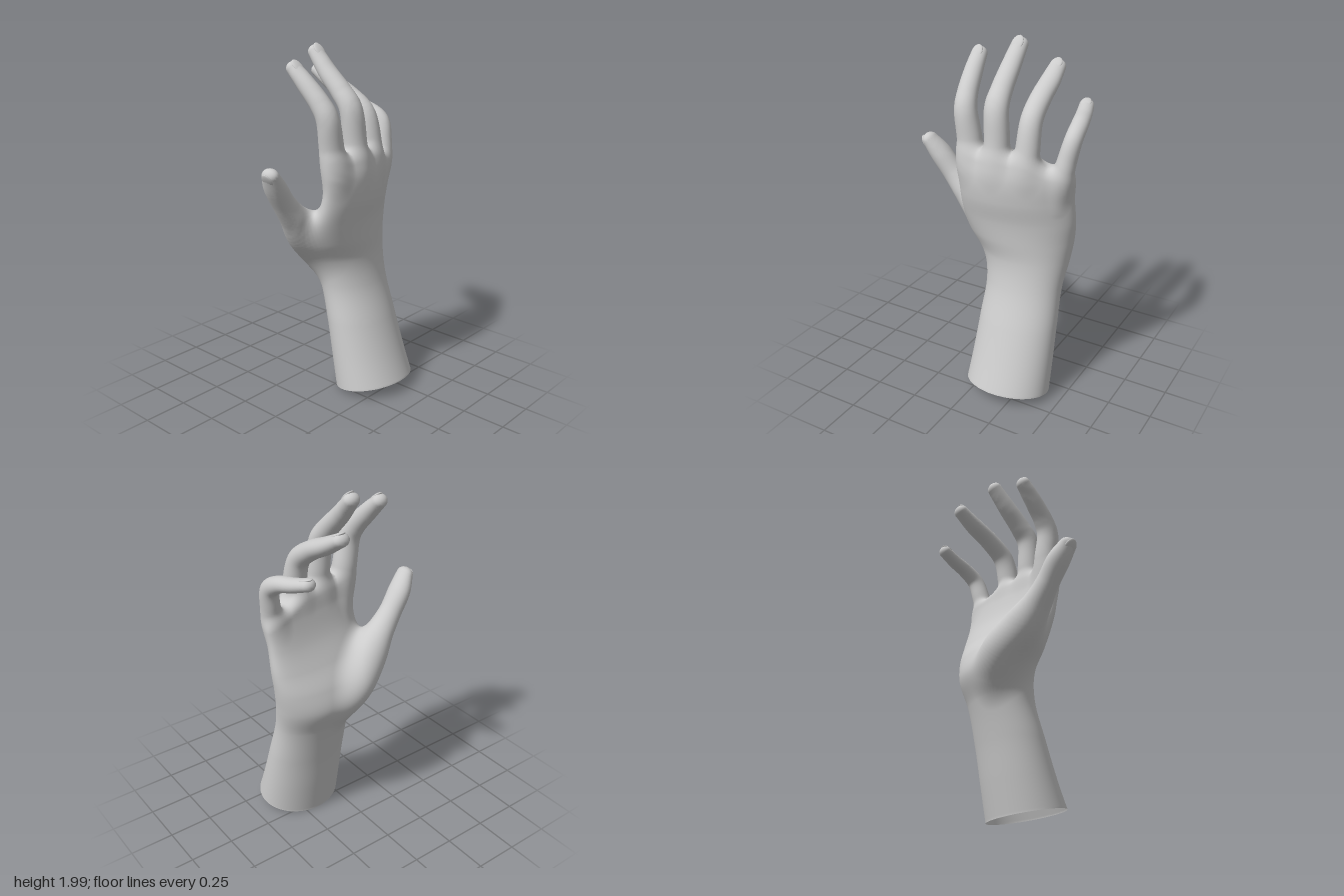
import * as THREE from 'three';

const material = new THREE.MeshStandardMaterial({ color: 0xcccccc, side: THREE.DoubleSide });
const BOTTOM = 0.04;

// Smooth function through rows of numbers placed at the given times
function spline(times, rows) {
  const curve = new THREE.CubicInterpolant(times, rows.flat(), rows[0].length, []);
  return (t) => Array.from(curve.evaluate(t));
}

// Smooth minimum: joins two distances with a fillet of size k
function blend(a, b, k) {
  const h = Math.max(k - Math.abs(a - b), 0) / k;
  return Math.min(a, b) - h * h * k / 4;
}

// Forearm and palm: elliptical sections by height, slanted and arched across the hand
function forearmAndPalm() {
  const heights = [0.04, 0.22, 0.42, 0.64, 0.8, 0.92, 1.04, 1.17, 1.3, 1.38, 1.46];
  // centre x, half depth, centre z, half width, slant, arch
  const at = spline(heights, [
    [0.152, 0.204, -0.177, 0.247, 0, 0],
    [0.1, 0.187, -0.18, 0.24, 0, 0],
    [0.045, 0.17, -0.182, 0.233, 0, 0],
    [-0.02, 0.16, -0.182, 0.228, 0, 0],
    [-0.06, 0.176, -0.172, 0.258, 0.03, 0],
    [-0.04, 0.166, -0.15, 0.298, 0.1, 0.01],
    [0, 0.138, -0.143, 0.318, 0.15, 0.02],
    [0.045, 0.116, -0.145, 0.316, 0.19, 0.03],
    [0.068, 0.097, -0.148, 0.316, 0.2, 0.035],
    [0.068, 0.08, -0.148, 0.31, 0.2, 0.04],
    [0.065, 0.055, -0.148, 0.3, 0.2, 0.04],
  ]);
  return (x, y, z) => {
    const [cx, hx, cz, hz, slant, arch] = at(y);
    const dz = z - cz, dx = x - cx - slant * dz + arch * (dz / hz) ** 2;
    const k0 = Math.hypot(dx / hx, dz / hz) + 1e-6;
    const k1 = Math.hypot(dx / hx ** 2, dz / hz ** 2) + 1e-6;
    const top = y - 1.43 - 0.4 * Math.min(0, z + 0.2);
    return -blend(-k0 * (k0 - 1) / k1, -top, 0.05);
  };
}

// Finger: distance to a tapering sweep; rows of x, y, z, half width, half depth.
// The half width is measured along the axis numbered wide.
function finger(rows, wide) {
  const at = spline(rows.map((_, i) => i), rows), perRow = 14;
  const path = [];
  for (let i = 0; i <= (rows.length - 1) * perRow; i++) path.push(at(i / perRow));
  const box = new THREE.Box3().setFromPoints(path.map((p) => new THREE.Vector3(...p))).expandByScalar(0.15);
  const point = new THREE.Vector3(), d = [0, 0, 0];
  return (x, y, z) => {
    const outside = box.distanceToPoint(point.set(x, y, z));
    if (outside > 0) return outside + 0.1;
    let best = Infinity;
    for (let i = 0; i < path.length - 1; i++) {
      const a = path[i], b = path[i + 1];
      const ex = b[0] - a[0], ey = b[1] - a[1], ez = b[2] - a[2];
      const along = ((x - a[0]) * ex + (y - a[1]) * ey + (z - a[2]) * ez) / (ex * ex + ey * ey + ez * ez);
      const t = Math.min(1, Math.max(0, along));
      d[0] = x - a[0] - t * ex;
      d[1] = y - a[1] - t * ey;
      d[2] = z - a[2] - t * ez;
      const ru = a[3] + t * (b[3] - a[3]), rv = a[4] + t * (b[4] - a[4]);
      d[wide] *= rv / ru;
      best = Math.min(best, Math.sqrt(d[0] * d[0] + d[1] * d[1] + d[2] * d[2]) - rv);
    }
    return best;
  };
}

// Nail: flattened ellipsoid laid into the back of the fingertip
function nail(name, rows, side) {
  const [x, y, z, ru, rv] = rows[rows.length - 1], end = new THREE.Vector3(x, y, z);
  const t = end.clone().sub(new THREE.Vector3(...rows[rows.length - 2])).normalize();
  const u = side.clone().addScaledVector(t, -side.dot(t)).normalize(), v = t.clone().cross(u);
  const mesh = new THREE.Mesh(new THREE.SphereGeometry(1, 20, 14), material);
  mesh.name = name;
  mesh.scale.set(ru * 0.72, rv * 0.3, ru * 1.05);
  mesh.quaternion.setFromRotationMatrix(new THREE.Matrix4().makeBasis(u, v, t));
  mesh.position.copy(end).addScaledVector(v, rv * 0.75).addScaledVector(t, -ru * 0.28);
  return mesh;
}

// Skin the zero level of a field with quads, one vertex per crossed grid cell
function skin(field, partOf, names) {
  const h = 0.0125, size = [68, 162, 88], low = [-0.425, BOTTOM - h / 2, -0.55];
  const stride = [1, size[0], size[0] * size[1]], values = new Float32Array(size[0] * size[1] * size[2]);
  const each = (from, visit) => {
    for (let k = from; k < size[2] - 1; k++) for (let j = from; j < size[1] - 1; j++)
      for (let i = from; i < size[0] - 1; i++) visit([i, j, k], i + j * stride[1] + k * stride[2]);
  };
  each(0, (g, id) => { values[id] = field(...g.map((n, a) => low[a] + n * h)); });
  const gradient = (p) => [0, 1, 2].map((a) => {
    const p0 = [...p], p1 = [...p];
    p0[a] -= 0.004;
    p1[a] += 0.004;
    return (field(...p1) - field(...p0)) / 0.008;
  });

  const vertexOf = new Map(), positions = [], normals = [], part = [];
  each(0, (g, id) => {
    if (g.some((n, a) => n > size[a] - 3)) return;
    let inside = 0;
    for (let c = 0; c < 8; c++) if (values[id + (c & 1) + (c >> 1 & 1) * stride[1] + (c >> 2) * stride[2]] < 0) inside++;
    if (inside === 0 || inside === 8) return;
    let p = g.map((n, a) => low[a] + (n + 0.5) * h);
    for (let step = 0; step < 3; step++) {
      const slope = gradient(p), f = field(...p) / Math.max(0.3, slope.reduce((s, n) => s + n * n, 0));
      p = p.map((n, a) => n - THREE.MathUtils.clamp(f * slope[a], -h, h));
    }
    if (g[1] === 0) p[1] = BOTTOM;
    vertexOf.set(id, part.length);
    part.push(partOf(...p));
    // The cut through the forearm slopes up towards the back of the hand
    const tilt = 0.22 * Math.max(0, 1 - p[1] / 0.6) ** 2;
    positions.push(p[0], p[1] + tilt * (p[0] - 0.152), p[2]);
    normals.push(...new THREE.Vector3(...gradient(p)).normalize());
  });

  const faces = names.map(() => []);
  each(1, (g, id) => {
    for (let a = 0; a < 3; a++) {
      const inside = values[id] < 0;
      if (inside === values[id + stride[a]] < 0) continue;
      const b = stride[(a + 1) % 3], c = stride[(a + 2) % 3];
      const quad = [id, id - b, id - b - c, id - c].map((cell) => vertexOf.get(cell));
      if (!inside) quad.reverse();
      faces[part[quad[0]]].push(quad[0], quad[1], quad[2], quad[0], quad[2], quad[3]);
    }
  });
  return names.map((name, i) => {
    const geometry = new THREE.BufferGeometry();
    geometry.setAttribute('position', new THREE.Float32BufferAttribute(positions, 3));
    geometry.setAttribute('normal', new THREE.Float32BufferAttribute(normals, 3));
    geometry.setIndex(faces[i]);
    const mesh = new THREE.Mesh(geometry.toNonIndexed(), material);
    mesh.name = name;
    return mesh;
  });
}

export function createModel() {
  const digits = {
    indexFinger: [
      [0.06, 1.18, 0.07, 0.03, 0.03], [0.085, 1.33, 0.1, 0.07, 0.066], [0.075, 1.47, 0.114, 0.07, 0.066],
      [0.072, 1.62, 0.138, 0.063, 0.062], [0.03, 1.705, 0.151, 0.057, 0.056],
      [-0.055, 1.8, 0.165, 0.052, 0.049], [-0.135, 1.88, 0.175, 0.045, 0.038]],
    middleFinger: [
      [0.075, 1.18, -0.06, 0.03, 0.03], [0.095, 1.33, -0.06, 0.071, 0.067], [0.085, 1.49, -0.06, 0.07, 0.066],
      [0.07, 1.655, -0.048, 0.067, 0.06], [0.005, 1.745, -0.043, 0.06, 0.056],
      [-0.09, 1.84, -0.041, 0.055, 0.049], [-0.184, 1.945, -0.045, 0.047, 0.038]],
    ringFinger: [
      [0.04, 1.18, -0.215, 0.03, 0.03], [0.065, 1.33, -0.222, 0.07, 0.064], [0.055, 1.47, -0.228, 0.066, 0.062],
      [0.015, 1.61, -0.226, 0.06, 0.058], [-0.09, 1.695, -0.22, 0.059, 0.052],
      [-0.21, 1.757, -0.214, 0.057, 0.046], [-0.315, 1.818, -0.207, 0.047, 0.036]],
    littleFinger: [
      [-0.005, 1.15, -0.37, 0.03, 0.03], [0.005, 1.3, -0.402, 0.056, 0.054], [-0.01, 1.42, -0.425, 0.052, 0.054],
      [-0.04, 1.525, -0.442, 0.048, 0.05], [-0.12, 1.58, -0.437, 0.047, 0.044],
      [-0.215, 1.605, -0.416, 0.045, 0.038], [-0.303, 1.632, -0.392, 0.041, 0.033]],
    // The thumb starts in the fleshy mound at the heel of the palm
    thumb: [
      [-0.08, 0.67, -0.1, 0.05, 0.05], [-0.115, 0.765, -0.06, 0.108, 0.095], [-0.132, 0.86, 0.005, 0.136, 0.122],
      [-0.11, 0.97, 0.125, 0.115, 0.115], [-0.09, 1.08, 0.235, 0.082, 0.08],
      [-0.08, 1.18, 0.32, 0.065, 0.064], [-0.066, 1.285, 0.395, 0.067, 0.058],
      [-0.043, 1.367, 0.452, 0.052, 0.04]],
  };
  const names = ['forearmAndPalm', ...Object.keys(digits)];
  const shapes = [forearmAndPalm(), ...Object.entries(digits).map(([n, rows]) => finger(rows, n === 'thumb' ? 0 : 2))];
  const distances = (x, y, z) => shapes.map((shape) => shape(x, y, z));
  const field = (x, y, z) => {
    const [palm, index, middle, ring, little, thumb] = distances(x, y, z);
    const fingers = [middle, ring, little].reduce((a, b) => blend(a, b, 0.012), index);
    return blend(blend(palm, thumb, 0.08), fingers, 0.05);
  };
  const partOf = (x, y, z) => {
    const d = distances(x, y, z);
    return d.indexOf(Math.min(...d));
  };

  const hand = new THREE.Group();
  hand.name = 'hand';
  hand.add(...skin(field, partOf, names));
  for (const [name, rows] of Object.entries(digits)) {
    const side = name === 'thumb' ? new THREE.Vector3(-1, 0, 0) : new THREE.Vector3(0, 0, 1);
    hand.add(nail(name + 'Nail', rows, side));
  }
  return hand;
}
